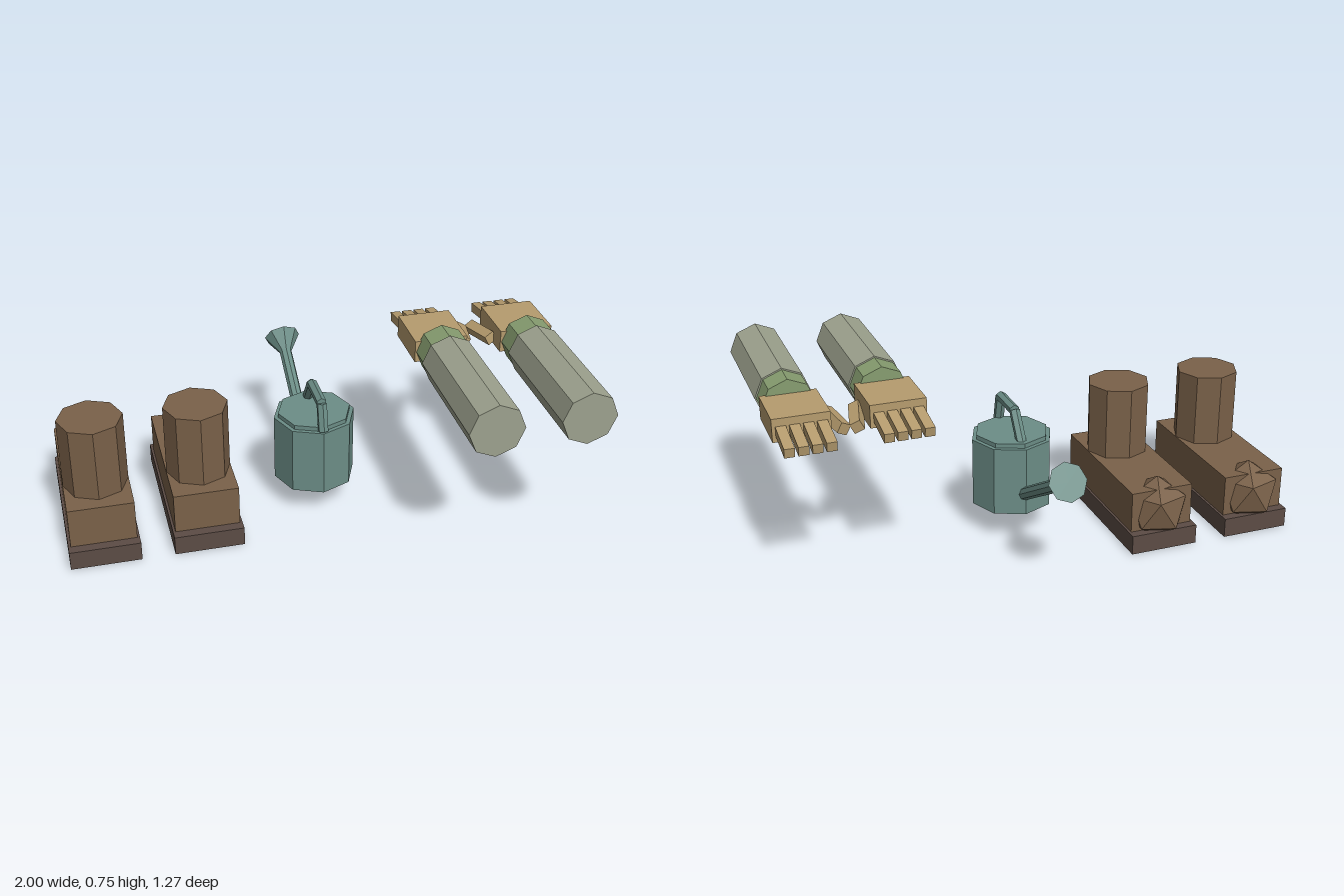
import * as THREE from 'three';

const mat = (name, color) => {
  const m = new THREE.MeshStandardMaterial({ color, flatShading: true });
  m.name = name;
  return m;
};

export function createModel() {
  const leather = mat('brown leather', 0x7a6149);
  const soleMat = mat('dark sole', 0x5c4c45);
  const metal = mat('teal metal', 0x6c8e87);
  const tan = mat('tan glove', 0xb69c6e);
  const cuffMat = mat('green cuff', 0x879d70);
  const sleeveMat = mat('grey green sleeve', 0x9da28e);

  const model = new THREE.Group();
  model.name = 'gardeningSet';

  const group = (name) => {
    const g = new THREE.Group();
    g.name = name;
    model.add(g);
    return g;
  };
  const add = (parent, name, geo, material, x = 0, y = 0, z = 0) => {
    const m = new THREE.Mesh(geo, material);
    m.name = name;
    m.position.set(x, y, z);
    parent.add(m);
    return m;
  };
  const box = (w, h, d) => new THREE.BoxGeometry(w, h, d);
  const cyl = (rTop, rBottom, h, n = 8) => new THREE.CylinderGeometry(rTop, rBottom, h, n);

  // straight rod between two points, with a radius at each end
  const rod = (parent, name, a, b, rA, rB, material, n = 8) => {
    const p = new THREE.Vector3(...a), q = new THREE.Vector3(...b);
    const d = q.clone().sub(p);
    const m = add(parent, name, cyl(rB, rA, d.length(), n), material);
    m.position.copy(p).add(q).multiplyScalar(0.5);
    m.quaternion.setFromUnitVectors(new THREE.Vector3(0, 1, 0), d.normalize());
    return m;
  };

  // boots, toes pointing to the back
  for (const [name, x] of [['rightBoot', -0.862], ['leftBoot', -0.458]]) {
    const boot = group(name);
    boot.position.x = x;
    add(boot, 'sole', box(0.275, 0.078, 0.685), soleMat, 0, 0.039, -0.098);
    add(boot, 'foot', box(0.256, 0.164, 0.608), leather, 0, 0.16, -0.099);
    add(boot, 'shaft', cyl(0.127, 0.127, 0.297), leather, 0, 0.3865, 0.026);
    // faceted toe cap with one point straight up
    const toe = new THREE.IcosahedronGeometry(0.128, 0);
    toe.rotateX(-Math.atan((1 + Math.sqrt(5)) / 2));
    toe.rotateY(Math.PI / 2);
    add(boot, 'toeCap', toe, leather, 0, 0.15, -0.355);
  }

  // watering can
  const can = group('wateringCan');
  can.position.set(0.025, 0, -0.024);
  add(can, 'canBody', cyl(0.164, 0.164, 0.277), metal, 0, 0.2565, 0);
  add(can, 'rim', cyl(0.147, 0.147, 0.02), metal, 0, 0.403, 0);
  const path = [[0, 0.4, 0.149], [0, 0.51, 0.122], [0, 0.51, -0.035], [0, 0.4, -0.112]];
  for (let i = 0; i < 3; i++) rod(can, 'handleBar', path[i], path[i + 1], 0.021, 0.021, metal, 6);
  rod(can, 'spout', [0, 0.19, -0.13], [0, 0.409, -0.51], 0.026, 0.026, metal);
  rod(can, 'spoutRose', [0, 0.405, -0.503], [0, 0.445, -0.573], 0.026, 0.075, metal);

  // arms with gloves, mirrored; side = +1 has its thumb towards +x
  for (const [name, x, side] of [['rightArm', 0.533, 1], ['leftArm', 0.889, -1]]) {
    const arm = group(name);
    arm.position.set(x, 0.637, 0);
    add(arm, 'sleeve', cyl(0.108, 0.108, 0.535), sleeveMat, 0, 0, 0.3725).rotation.x = Math.PI / 2;
    add(arm, 'cuff', cyl(0.102, 0.102, 0.104), cuffMat, 0, 0, 0.054).rotation.x = Math.PI / 2;
    add(arm, 'palm', box(0.214, 0.09, 0.229), tan, 0, 0.001, -0.101);
    for (let i = 0; i < 4; i++) {
      const finger = add(arm, 'finger', box(0.038, 0.037, 0.16), tan, (i - 1.5) * 0.05, -0.014, -0.277);
      finger.rotation.x = -0.18;
    }
    const thumb = add(arm, 'thumb', box(0.042, 0.042, 0.155), tan, side * 0.137, -0.026, -0.13);
    thumb.rotation.set(-0.12, -side * 0.22, -side * 0.5);
  }

  return model;
}
